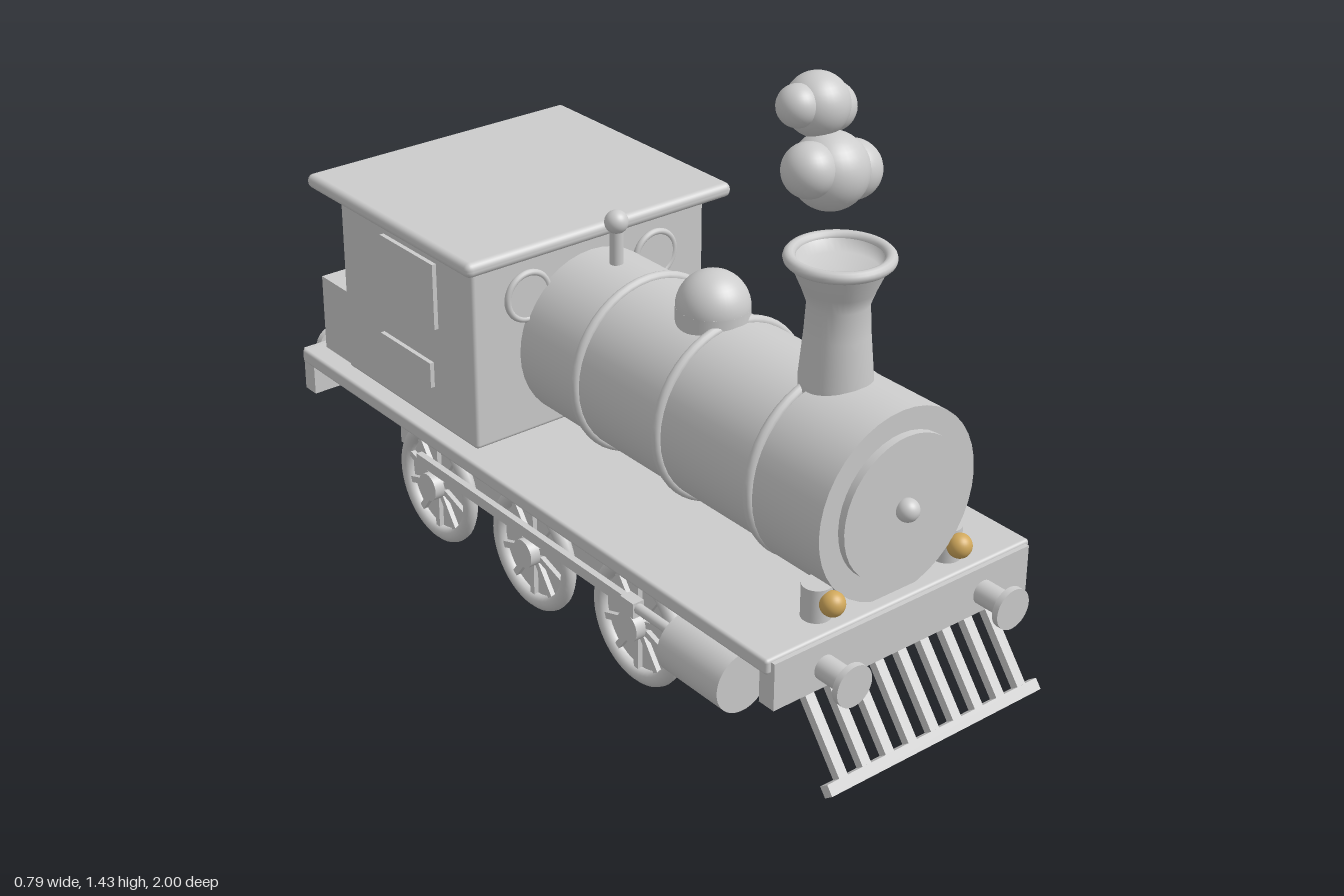
import * as THREE from 'three';
import { RoundedBoxGeometry } from 'three/addons/geometries/RoundedBoxGeometry.js';

const grey = new THREE.MeshStandardMaterial({ color: 0xcccccc });
grey.name = 'light grey';
const brass = new THREE.MeshStandardMaterial({ color: 0xd0a85c });
brass.name = 'brass';

export function createModel() {
  const model = new THREE.Group();
  model.name = 'steamEngine';

  function add(name, geometry, x, y, z, material = grey) {
    const mesh = new THREE.Mesh(geometry, material);
    mesh.name = name;
    mesh.position.set(x, y, z);
    model.add(mesh);
    return mesh;
  }
  const box = (name, w, h, d, x, y, z) => add(name, new THREE.BoxGeometry(w, h, d), x, y, z);
  const rounded = (name, w, h, d, r, x, y, z) =>
    add(name, new RoundedBoxGeometry(w, h, d, 3, r), x, y, z);
  const ball = (name, r, x, y, z, material) =>
    add(name, new THREE.SphereGeometry(r, 32, 20), x, y, z, material);
  const rod = (name, r, length, x, y, z) =>
    add(name, new THREE.CylinderGeometry(r, r, length, 40), x, y, z);
  // Cylinder lying along z, between two z values
  function rodZ(name, r, z0, z1, x, y) {
    const mesh = rod(name, r, Math.abs(z1 - z0), x, y, (z0 + z1) / 2);
    mesh.rotation.x = Math.PI / 2;
    return mesh;
  }
  const ring = (name, r, tube, x, y, z) =>
    add(name, new THREE.TorusGeometry(r, tube, 12, 48), x, y, z);

  // Footplate and buffer beams
  rounded('footplate', 0.756, 0.036, 1.77, 0.008, 0, 0.342, -0.01);
  box('frontBeam', 0.73, 0.112, 0.045, 0, 0.297, 0.863);
  box('rearBeam', 0.73, 0.112, 0.045, 0, 0.297, -0.886);

  // Boiler, smokebox, door and bands
  const axisY = 0.57;
  rodZ('boiler', 0.208, -0.19, 0.65, 0, axisY);
  rodZ('smokebox', 0.219, 0.64, 0.845, 0, axisY);
  rodZ('smokeboxDoor', 0.167, 0.84, 0.863, 0, axisY);
  ball('doorKnob', 0.026, 0, axisY, 0.873);
  for (const z of [0.617, 0.314, 0.023]) ring('boilerBand', 0.209, 0.012, 0, axisY, z);

  // Flared chimney with a hollow mouth
  const chimney = [[0.079, 0.75], [0.079, 0.79], [0.07, 0.89], [0.066, 0.957], [0.078, 0.99],
    [0.102, 1.045], [0.104, 1.058], [0.09, 1.058], [0.083, 1.03], [0, 1.03]];
  add('chimney', new THREE.LatheGeometry(chimney.map(([r, y]) => new THREE.Vector2(r, y)), 40), 0, 0, 0.645);
  ring('chimneyRim', 0.104, 0.0135, 0, 1.057, 0.645).rotation.x = Math.PI / 2;

  // Steam dome and whistle
  rod('domeBase', 0.084, 0.07, 0, 0.765, 0.25);
  add('domeCap', new THREE.SphereGeometry(0.084, 40, 12, 0, Math.PI * 2, 0, Math.PI / 2), 0, 0.798, 0.25);
  rod('whistleStem', 0.016, 0.12, 0, 0.815, -0.093);
  ball('whistleKnob', 0.028, 0, 0.88, -0.093);

  // Smoke puffs: radius, x, y, z
  for (const puff of [[0.083, 0, 1.233, 0.605], [0.058, -0.065, 1.253, 0.615], [0.064, 0.073, 1.213, 0.592],
    [0.068, 0, 1.362, 0.562], [0.045, -0.055, 1.372, 0.565], [0.053, 0.059, 1.337, 0.54]]) {
    ball('smokePuff', ...puff);
  }

  // Cab, roof and coal bunker
  rounded('cab', 0.674, 0.455, 0.55, 0.01, 0, 0.589, -0.463);
  rounded('cabRoof', 0.764, 0.036, 0.68, 0.016, 0, 0.844, -0.475);
  box('bunker', 0.65, 0.197, 0.135, 0, 0.4575, -0.797);
  for (const [x, z, r] of [[0.08, -0.835, 0.047], [-0.03, -0.8, 0.045], [-0.16, -0.785, 0.055], [0.19, -0.775, 0.045]]) {
    ball('coalLump', r, x, 0.556, z).scale.y = 0.62;
  }

  // Wind-up key behind the cab
  rodZ('keyShaft', 0.014, -0.73, -0.93, 0, 0.632);
  for (const x of [-0.076, 0.076]) ball('keyWing', 0.077, x, 0.632, -0.93).scale.set(1, 0.66, 0.23);

  // Cowcatcher: sloping bars and a lower rail
  const slope = -Math.atan2(0.13, 0.17);
  for (let i = -4; i <= 4; i++) {
    box('cowcatcherBar', 0.024, 0.225, 0.022, i * 0.065, 0.157, 0.923).rotation.x = slope;
  }
  box('cowcatcherRail', 0.61, 0.026, 0.026, 0, 0.073, 0.985).rotation.x = slope;

  for (const s of [-1, 1]) {
    // Buffers at both ends
    for (const [z0, z1, z2] of [[0.88, 0.96, 0.975], [-0.9, -0.983, -1]]) {
      rodZ('bufferShaft', 0.028, z0, z1, s * 0.228, 0.29);
      rodZ('bufferHead', 0.048, z1, z2, s * 0.228, 0.29);
    }

    // Headlamps
    rod('lampPost', 0.033, 0.08, s * 0.187, 0.398, 0.81);
    ball('lampBulb', 0.028, s * 0.182, 0.407, 0.853, brass);

    // Cab windows and side panels
    ring('roundWindowFrame', 0.057, 0.008, s * 0.185, 0.715, -0.184);
    rodZ('roundWindow', 0.053, -0.19, -0.179, s * 0.185, 0.715);
    box('sideWindow', 0.02, 0.165, 0.218, s * 0.338, 0.703, -0.439);
    box('sidePanel', 0.02, 0.064, 0.21, s * 0.338, 0.492, -0.46);

    // Frame rail, steam cylinder and rods
    box('frameRail', 0.025, 0.145, 1.295, s * 0.218, 0.2075, -0.037);
    rodZ('steamCylinder', 0.071, 0.55, 0.745, s * 0.325, 0.219);
    rodZ('pistonRod', 0.012, 0.36, 0.56, s * 0.325, 0.223);
    box('crosshead', 0.03, 0.038, 0.045, s * 0.325, 0.22, 0.375);
    box('couplingRod', 0.016, 0.027, 0.85, s * 0.325, 0.223, -0.03);

    // Wheels: tyre, disc, spokes and hub
    for (const z of [0.353, -0.037, -0.428]) {
      const y = 0.151;
      ring('wheelTyre', 0.133, 0.018, s * 0.289, y, z).rotation.y = Math.PI / 2;
      const across = (name, r, length, x) => {
        rod(name, r, length, s * x, y, z).rotation.z = Math.PI / 2;
      };
      across('wheelDisc', 0.125, 0.01, 0.28);
      across('wheelHub', 0.035, 0.046, 0.3);
      across('axleStub', 0.018, 0.06, 0.25);
      for (let i = 0; i < 5; i++) {
        box('wheelSpokePair', 0.014, 0.25, 0.016, s * 0.29, y, z).rotation.x = i * Math.PI / 5;
      }
    }
  }
  return model;
}
